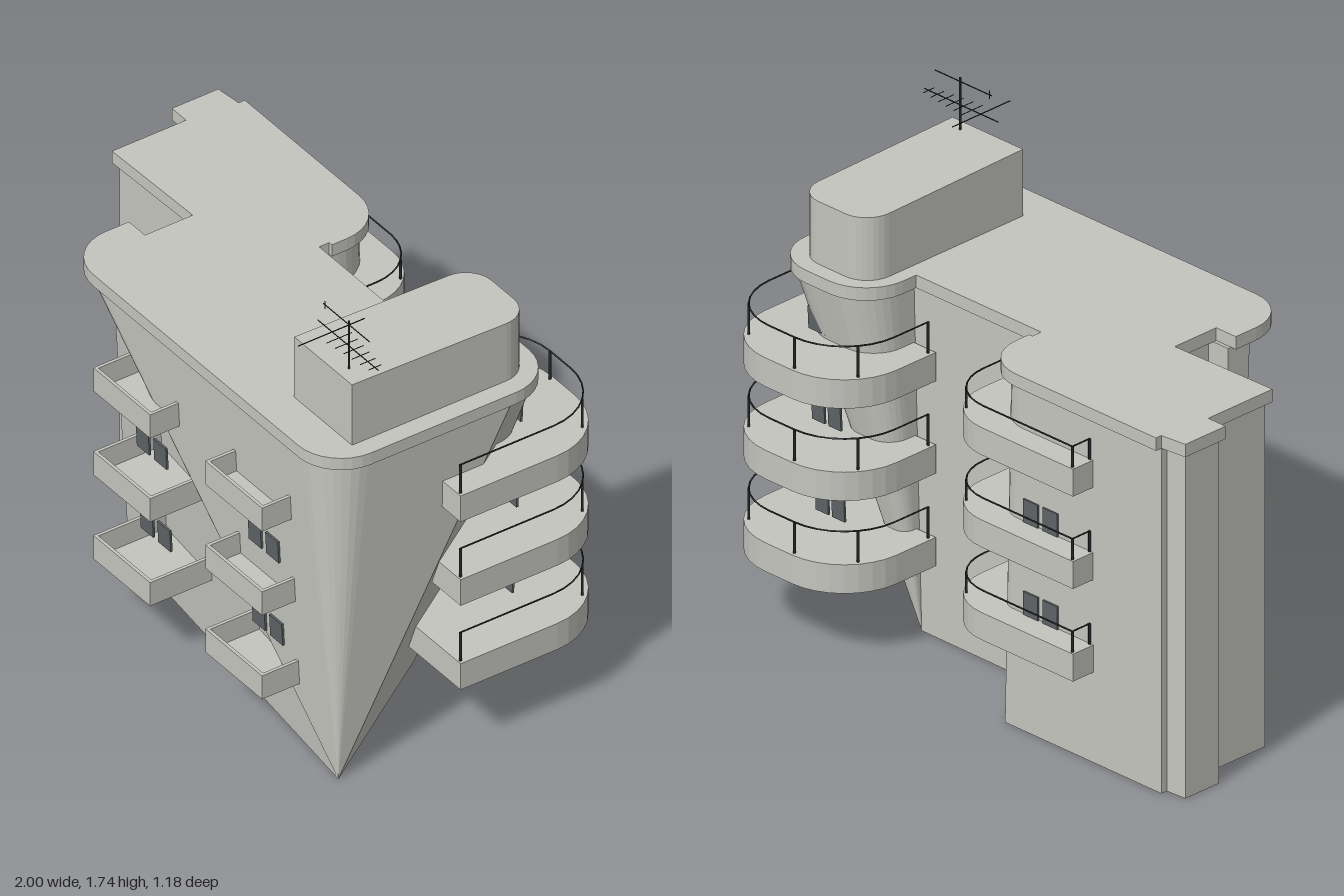
import * as THREE from 'three';

const mat = (name, color, side = THREE.FrontSide) => {
  const m = new THREE.MeshStandardMaterial({ color, side });
  m.name = name;
  return m;
};

// Plan outline [x, z, radius]: corners with a radius become arcs
function outline(pts, closed = true, steps = 8) {
  const out = [];
  pts.forEach(([x, z, r], i) => {
    if (!r || (!closed && (i === 0 || i === pts.length - 1))) return out.push([x, z]);
    const p = new THREE.Vector2(x, z);
    const dir = (q) => new THREE.Vector2(q[0], q[1]).sub(p).normalize();
    const u = dir(pts[(i + pts.length - 1) % pts.length]);
    const v = dir(pts[(i + 1) % pts.length]);
    for (let k = 0; k <= steps; k++) {
      const a = (k / steps) * Math.PI / 2;
      const c = r * (1 - Math.sin(a)), d = r * (1 - Math.cos(a));
      out.push([x + u.x * c + v.x * d, z + u.y * c + v.y * d]);
    }
  });
  return out;
}

const toShape = (pts) => new THREE.Shape(pts.map(([x, z]) => new THREE.Vector2(x, z)));

// Horizontal plate with the given plan between y0 and y1
function plate(pts, y0, y1) {
  const g = new THREE.ExtrudeGeometry(toShape(pts), { depth: y1 - y0, bevelEnabled: false });
  return g.rotateX(Math.PI / 2).translate(0, y1, 0);
}

export function createModel() {
  const model = new THREE.Group();
  const concrete = mat('concrete', 0xc4c5be);
  const glass = mat('dark glass', 0x5f6367, THREE.DoubleSide);
  const iron = mat('dark iron', 0x242626);

  const add = (name, geo, material, parent = model) => {
    const m = new THREE.Mesh(geo, material);
    m.name = name;
    parent.add(m);
    return m;
  };
  const box = (name, x0, x1, y0, y1, z0, z1, material, parent) =>
    add(name, new THREE.BoxGeometry(x1 - x0, y1 - y0, z1 - z0)
      .translate((x0 + x1) / 2, (y0 + y1) / 2, (z0 + z1) / 2), material, parent);
  const bar = (name, a, b, r, parent) => {
    const p = new THREE.Vector3(...a), d = new THREE.Vector3(...b).sub(p);
    const m = add(name, new THREE.CylinderGeometry(r, r, d.length(), 6), iron, parent);
    m.position.copy(p).addScaledVector(d, 0.5);
    m.quaternion.setFromUnitVectors(new THREE.Vector3(0, 1, 0), d.normalize());
  };

  // Tapered body: each ground corner [x, z] fans up to its own run of eaves points
  const H = 1.262;
  const still = (x, z) => ({ b: [x, z], t: [[x, z]] });
  const wing = outline([[-0.12, -0.22], [-0.12, -0.43, 0.16], [-0.3, -0.43]], false);
  const corners = [
    { b: [-0.55, 0.26], t: [[-0.55, 0.33]] },
    { b: [0.87, 0.43], t: outline([[-0.55, 0.33], [-0.55, 0.49, 0.155], [0.905, 0.49, 0.155], [0.905, -0.24]], false) },
    { b: [0.475, -0.155], t: outline([[0.905, -0.24], [0.905, -0.395, 0.15], [0.5, -0.395, 0.15], [0.5, -0.165]], false) },
    still(-0.125, -0.16), still(-0.12, -0.22),
    { b: [-0.13, -0.355], t: wing.slice(0, 6) },
    { b: [-0.18, -0.425], t: wing.slice(5) },
    still(-0.9, -0.425), still(-0.9, -0.4), still(-0.98, -0.395), still(-0.98, -0.24), still(-0.9, -0.24),
    still(-0.9, 0.05), still(-0.46, 0.05), still(-0.46, 0.23), still(-0.55, 0.23),
  ];
  const tri = [];
  const lo = ([x, z]) => tri.push(x, 0, z), hi = ([x, z]) => tri.push(x, H, z);
  corners.forEach((c, i) => {
    const n = corners[(i + 1) % corners.length], last = c.t[c.t.length - 1];
    for (let k = 0; k < c.t.length - 1; k++) { lo(c.b); hi(c.t[k + 1]); hi(c.t[k]); }
    lo(c.b); lo(n.b); hi(last);
    lo(n.b); hi(n.t[0]); hi(last);
  });
  const walls = new THREE.BufferGeometry();
  walls.setAttribute('position', new THREE.Float32BufferAttribute(tri, 3));
  walls.computeVertexNormals();
  add('tapered walls', walls, concrete);
  add('underside', new THREE.ShapeGeometry(toShape(corners.map((c) => c.b))).rotateX(Math.PI / 2), concrete);

  // Roof slab and stair house
  const roof = outline([
    [-1, -0.415], [-1, -0.23], [-0.92, -0.23], [-0.92, 0.065], [-0.48, 0.055], [-0.48, 0.245], [-0.57, 0.245],
    [-0.57, 0.508, 0.17], [0.925, 0.508, 0.17], [0.925, -0.41, 0.17], [0.475, -0.41, 0.17], [0.475, -0.18],
    [-0.1, -0.18], [-0.1, -0.22], [-0.085, -0.22], [-0.085, -0.45, 0.17], [-0.9, -0.45], [-0.9, -0.425],
  ]);
  add('roof slab', plate(roof, 1.26, 1.307), concrete);
  const house = plate(outline([[0.53, 0.365], [0.855, 0.365], [0.855, -0.35, 0.1], [0.53, -0.35, 0.1]]), 1.3, 1.55);
  const hp = house.attributes.position;
  for (let i = 0; i < hp.count; i++) if (hp.getY(i) > 1.5) hp.setY(i, 1.55 - (0.365 - hp.getZ(i)) * 0.02);
  add('stair house', house, concrete);

  // Window pane standing on a plane that leans by slope (z per unit of y)
  const pane = (name, w, h, x, y, z, slope) => {
    const m = add(name, new THREE.BoxGeometry(w, h, 0.008), glass);
    m.position.set(x, y, z);
    m.rotation.x = Math.atan(slope);
  };

  // Front balconies: hollow trays, with window pairs on the leaning front plane
  const floors = [0.27, 0.608, 0.945];
  for (const x of [-0.28, 0.35]) {
    floors.forEach((y, f) => {
      const tray = new THREE.Group();
      tray.name = 'front balcony';
      model.add(tray);
      const w = 0.32, h = 0.094, t = 0.012, zb = 0.29, zf = 0.592;
      box('balcony floor', x, x + w, y, y + t, zb, zf, concrete, tray);
      box('balcony front', x, x + w, y, y + h, zf - t, zf, concrete, tray);
      for (const sx of [x, x + w - t]) box('balcony side', sx, sx + t, y, y + h, zb, zf, concrete, tray);
      if (f === 2) return;
      const wy = y + 0.156;
      for (const wx of [x + 0.11, x + 0.208]) pane('front window', 0.07, 0.086, wx, wy, 0.434 + 0.047 * wy, 0.047);
    });
  }

  // Curved rear balconies with railings
  function curvedBalcony(name, plan, railPlan, y, h, railH, postEvery) {
    const g = new THREE.Group();
    g.name = name;
    model.add(g);
    add('curved slab', plate(outline(plan), y, y + h), concrete, g);
    const rail = outline(railPlan, false), top = y + h + railH;
    rail.forEach(([x, z], i) => {
      if (i) bar('handrail', [rail[i - 1][0], top, rail[i - 1][1]], [x, top, z], 0.003, g);
      if (i % postEvery === 0 || i === rail.length - 1) bar('railing post', [x, y + h, z], [x, top, z], 0.005, g);
    });
  }
  floors.forEach((y, f) => {
    curvedBalcony('right rear balcony',
      [[1, 0.035], [1, -0.59, 0.24], [0.395, -0.59, 0.24], [0.395, -0.17], [0.52, -0.17], [0.62, 0.035]],
      [[0.985, 0.025], [0.985, -0.575, 0.23], [0.41, -0.575, 0.23], [0.41, -0.19]], y, 0.105, 0.113, 5);
    curvedBalcony('left rear balcony',
      [[-0.588, -0.4], [-0.22, -0.4], [-0.22, -0.16], [0.035, -0.16], [0.035, -0.52, 0.2], [-0.588, -0.52]],
      [[0.025, -0.18], [0.025, -0.51, 0.19], [-0.575, -0.51], [-0.575, -0.43]], y + 0.06, 0.1, 0.075, 5);

    // Rear windows
    const wy = y + 0.2;
    if (f < 2) for (const x of [-0.395, -0.305]) pane('rear window', 0.068, 0.088, x, wy, -0.43, 0);
    const lean = -0.05, ty = y + 0.16;
    for (const x of [0.69, 0.765]) pane('tower window', 0.058, 0.084, x, ty, -0.3 + lean * ty, lean);
  });

  // Roof aerial
  const aerial = new THREE.Group();
  aerial.name = 'aerial';
  model.add(aerial);
  const ax = 0.775, az = 0.32;
  bar('mast', [ax, 1.54, az], [ax, 1.74, az], 0.004, aerial);
  bar('upper boom', [0.63, 1.725, az], [0.89, 1.725, az], 0.002, aerial);
  bar('lower boom', [0.6, 1.64, az], [0.94, 1.64, az], 0.002, aerial);
  bar('reflector', [0.68, 1.64, 0.19], [0.68, 1.64, 0.455], 0.002, aerial);
  for (let i = 0; i < 6; i++) {
    const x = 0.72 + i * 0.04, r = 0.05 - i * 0.005;
    bar('aerial element', [x, 1.64, az - r], [x, 1.64, az + r], 0.0015, aerial);
  }
  bar('upper element', [0.64, 1.71, az], [0.64, 1.74, az], 0.002, aerial);
  return model;
}
